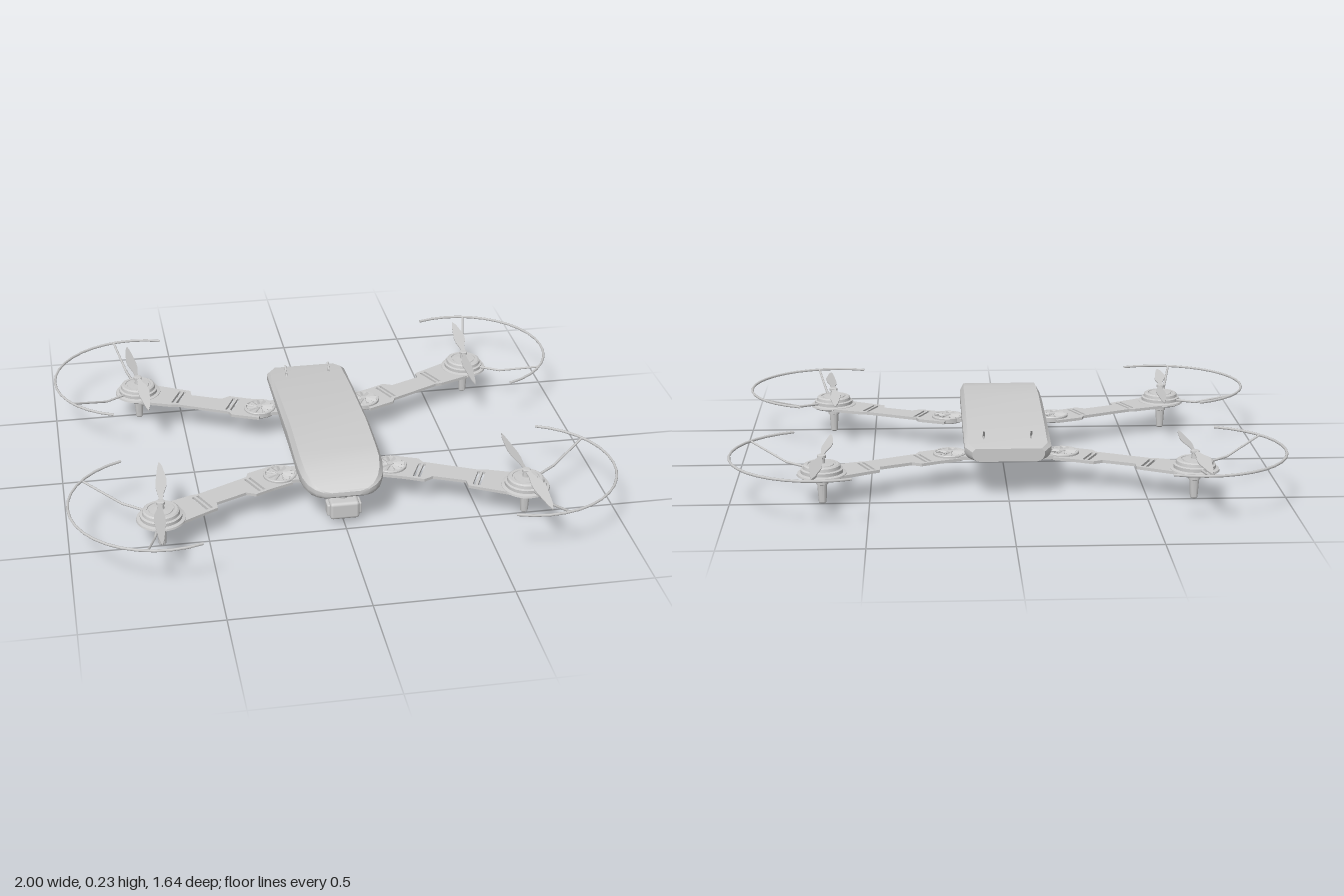
import * as THREE from 'three';
import { toCreasedNormals } from 'three/addons/utils/BufferGeometryUtils.js';
import { RoundedBoxGeometry } from 'three/addons/geometries/RoundedBoxGeometry.js';

const grey = new THREE.MeshStandardMaterial({ color: 0xcccccc, side: THREE.DoubleSide });
const V = (x, y, z) => new THREE.Vector3(x, y, z);

function add(parent, name, geometry, x = 0, y = 0, z = 0) {
  const mesh = new THREE.Mesh(geometry, grey);
  mesh.name = name;
  mesh.position.set(x, y, z);
  parent.add(mesh);
  return mesh;
}

// Plate drawn in plan (x, z) and spanning heights y0 to y1
function plate(outline, holes, y0, y1) {
  const toVec = ([x, z]) => new THREE.Vector2(x, z);
  const shape = new THREE.Shape(outline.map(toVec));
  for (const hole of holes) shape.holes.push(new THREE.Path(hole.map(toVec)));
  const g = new THREE.ExtrudeGeometry(shape, { depth: y1 - y0, bevelEnabled: false });
  return g.rotateX(Math.PI / 2).translate(0, y1, 0);
}

const rect = (x, z0, z1) => [[-x, z0], [x, z0], [x, z1], [-x, z1]];
const lathe = (pts, sides = 32) => toCreasedNormals(
  new THREE.LatheGeometry(pts.map(([r, y]) => new THREE.Vector2(r, y)), sides), 0.5);

// Straight round bar between two points
function bar(a, b, r) {
  return new THREE.TubeGeometry(new THREE.LineCurve3(a, b), 1, r, 6);
}

// Hull lofted through cross-sections: [z, half width, bottom, seam, top]
function hullGeometry() {
  const sections = [
    [-0.46, 0.13, 0.136, 0.172, 0.184], [-0.415, 0.157, 0.132, 0.18, 0.192],
    [-0.2, 0.158, 0.12, 0.195, 0.213], [0.12, 0.158, 0.12, 0.21, 0.235],
    [0.3, 0.158, 0.12, 0.2, 0.226], [0.37, 0.156, 0.12, 0.193, 0.221],
    [0.42, 0.149, 0.122, 0.183, 0.204], [0.457, 0.134, 0.124, 0.172, 0.188],
    [0.48, 0.113, 0.127, 0.164, 0.171], [0.495, 0.085, 0.132, 0.157, 0.161],
    [0.5, 0.06, 0.138, 0.152, 0.155],
  ];
  const pos = [], idx = [];
  for (const [z, w, yb, ys, yt] of sections) {
    const h = ys - yb;
    const half = [[0.8, yb], [0.89, yb + h * 0.1], [0.96, yb + h * 0.3], [1, yb + h * 0.6],
      [1, ys], [0.91, yt]];
    for (const [f, y] of half) pos.push(f * w, y, z);
    for (const [f, y] of half.reverse()) pos.push(-f * w, y, z);
  }
  const n = 12, last = (sections.length - 1) * n;
  for (let s = 0; s < last; s += n) {
    for (let k = 0; k < n; k++) {
      const a = s + k, b = s + (k + 1) % n;
      idx.push(a, b, b + n, a, b + n, a + n);
    }
  }
  for (let k = 1; k < n - 1; k++) idx.push(0, k + 1, k, last, last + k, last + k + 1);
  const g = new THREE.BufferGeometry();
  g.setAttribute('position', new THREE.Float32BufferAttribute(pos, 3));
  g.setIndex(idx);
  return toCreasedNormals(g, 0.42);
}

// One propeller blade reaching along +z, pitched across its width
function bladeGeometry(sweep) {
  const right = [[0.008, 0.005], [0.012, 0.05], [0.024, 0.1], [0.026, 0.14], [0.018, 0.2], [0.011, 0.25], [0.001, 0.283]];
  const left = right.map(([x, z]) => [-x * 0.6, z]).reverse();
  const g = plate([...right, ...left].map(([x, z]) => [x * sweep, z]), [], -0.002, 0.002);
  const p = g.attributes.position;
  for (let i = 0; i < p.count; i++) p.setY(i, p.getY(i) + p.getX(i) * 0.35 * sweep);
  g.computeVertexNormals();
  return g;
}

function rotorArm(sx, sz) {
  const arm = new THREE.Group();
  arm.name = (sz > 0 ? 'front' : 'rear') + (sx > 0 ? 'Left' : 'Right') + 'Arm';
  const mx = sx * 0.668, mz = sz * 0.487;

  // Folding arm plate: u runs inward from the motor, n runs across
  const map = ([u, n]) => [mx + sx * (-0.905 * u + 0.426 * n), mz - sz * (0.426 * u + 0.905 * n)];
  const slot = (u) => [[u, -0.048], [u + 0.01, -0.048], [u + 0.01, 0.052], [u, 0.052]].map(map);
  const outline = [[0.03, -0.07], [0.2, -0.06], [0.215, -0.027], [0.34, -0.03], [0.365, -0.06], [0.44, -0.06],
    [0.52, -0.066], [0.53, 0.08], [0.42, 0.084], [0.4, 0.064], [0.19, 0.062], [0.165, 0.07], [0.03, 0.08]].map(map);
  add(arm, 'armPlate', plate(outline, [0.158, 0.177, 0.383, 0.402].map(slot), 0.1, 0.111));

  // Folding hinge with a fan of tilted ribs above and below
  const hx = sx * 0.208, hz = sz * 0.265;
  add(arm, 'hinge', lathe([[0, 0.1], [0.052, 0.1], [0.054, 0.097], [0.06, 0.097], [0.062, 0.1], [0.062, 0.117],
    [0.06, 0.12], [0.054, 0.12], [0.052, 0.115], [0, 0.115]]), hx, 0, hz);
  add(arm, 'hingePin', new THREE.CylinderGeometry(0.012, 0.012, 0.027, 16), hx, 0.109, hz);
  for (const y of [0.1, 0.117]) {
    for (let i = 0; i < 12; i++) {
      const rib = new THREE.BoxGeometry(0.042, 0.004, 0.012).rotateX(0.5).translate(0.032, 0, 0);
      add(arm, 'hingeRib', rib, hx, y, hz).rotation.y = i * Math.PI / 6;
    }
  }

  // Motor, spindle and landing foot
  add(arm, 'motor', lathe([[0, 0.09], [0.03, 0.091], [0.06, 0.095], [0.08, 0.1], [0.09, 0.106], [0.088, 0.113], [0.076, 0.116],
    [0.076, 0.128], [0.068, 0.131], [0.066, 0.142], [0.06, 0.146], [0.05, 0.146], [0.049, 0.143], [0.044, 0.143],
    [0.043, 0.146], [0.013, 0.149], [0.011, 0.166], [0.016, 0.168], [0.016, 0.177], [0.01, 0.18], [0, 0.18]], 36), mx, 0, mz);
  add(arm, 'foot', lathe([[0, 0], [0.011, 0], [0.014, 0.004], [0.018, 0.07], [0.022, 0.072], [0.022, 0.096], [0, 0.096]], 16), mx, 0, mz);
  for (const turn of [0, Math.PI]) {
    add(arm, 'propellerBlade', bladeGeometry(sx * sz), mx, 0.173, mz).rotation.y = sx * sz * 0.07 + turn;
  }

  // Half-ring guard and its two cranked spokes
  const heading = Math.atan2(sx * 0.934, sz * 0.358);
  const ring = new THREE.TorusGeometry(0.327, 0.005, 6, 18, Math.PI).rotateX(Math.PI / 2).rotateY(heading);
  add(arm, 'propGuard', ring, mx, 0.179, mz);
  for (const side of [-1, 1]) {
    const t = heading + side * 0.98;
    const at = (r, y) => V(mx + Math.sin(t) * r, y, mz + Math.cos(t) * r);
    add(arm, 'guardSpoke', bar(at(0.07, 0.122), at(0.16, 0.126), 0.005));
    add(arm, 'guardSpoke', bar(at(0.158, 0.125), at(0.327, 0.179), 0.0045));
  }
  return arm;
}

export function createModel() {
  const model = new THREE.Group();
  model.name = 'quadcopter';

  // Hull with framed, recessed battery bay underneath
  add(model, 'hull', hullGeometry());
  const frame = [[-0.1, -0.33], [0.1, -0.33], [0.135, -0.29], [0.135, 0.27], [0.1, 0.31], [-0.1, 0.31], [-0.135, 0.27], [-0.135, -0.29]];
  add(model, 'bellyFrame', plate(frame, [rect(0.1, -0.26, 0.24)], 0.106, 0.13));
  add(model, 'batteryDoor', plate(rect(0.096, -0.256, 0.08), [], 0.111, 0.125));
  add(model, 'accessPanel', plate(rect(0.096, 0.086, 0.236), [], 0.114, 0.125));

  // Hinge brackets bridging hull and arms
  for (const sx of [-1, 1]) {
    for (const sz of [-1, 1]) {
      add(model, 'hingeBracket', new THREE.BoxGeometry(0.09, 0.013, 0.1), sx * 0.14, 0.1085, sz * 0.265);
      model.add(rotorArm(sx, sz));
    }
    // Small raked antennas on the rear deck
    add(model, 'antenna', bar(V(sx * 0.086, 0.19, -0.345), V(sx * 0.086, 0.227, -0.39), 0.004));
    add(model, 'antennaBase', new THREE.BoxGeometry(0.006, 0.02, 0.016), sx * 0.086, 0.2, -0.365);
  }

  // Camera on its gimbal
  add(model, 'camera', new RoundedBoxGeometry(0.108, 0.068, 0.072, 2, 0.012), 0, 0.058, 0.439);
  for (const sx of [-1, 1]) {
    add(model, 'cameraPivot', new RoundedBoxGeometry(0.018, 0.046, 0.05, 2, 0.006), sx * 0.055, 0.058, 0.436);
  }
  add(model, 'gimbalArm', new RoundedBoxGeometry(0.07, 0.056, 0.016, 2, 0.006), 0, 0.058, 0.402);
  add(model, 'gimbalPost', new THREE.CylinderGeometry(0.024, 0.018, 0.05, 16), 0, 0.105, 0.42);
  return model;
}
